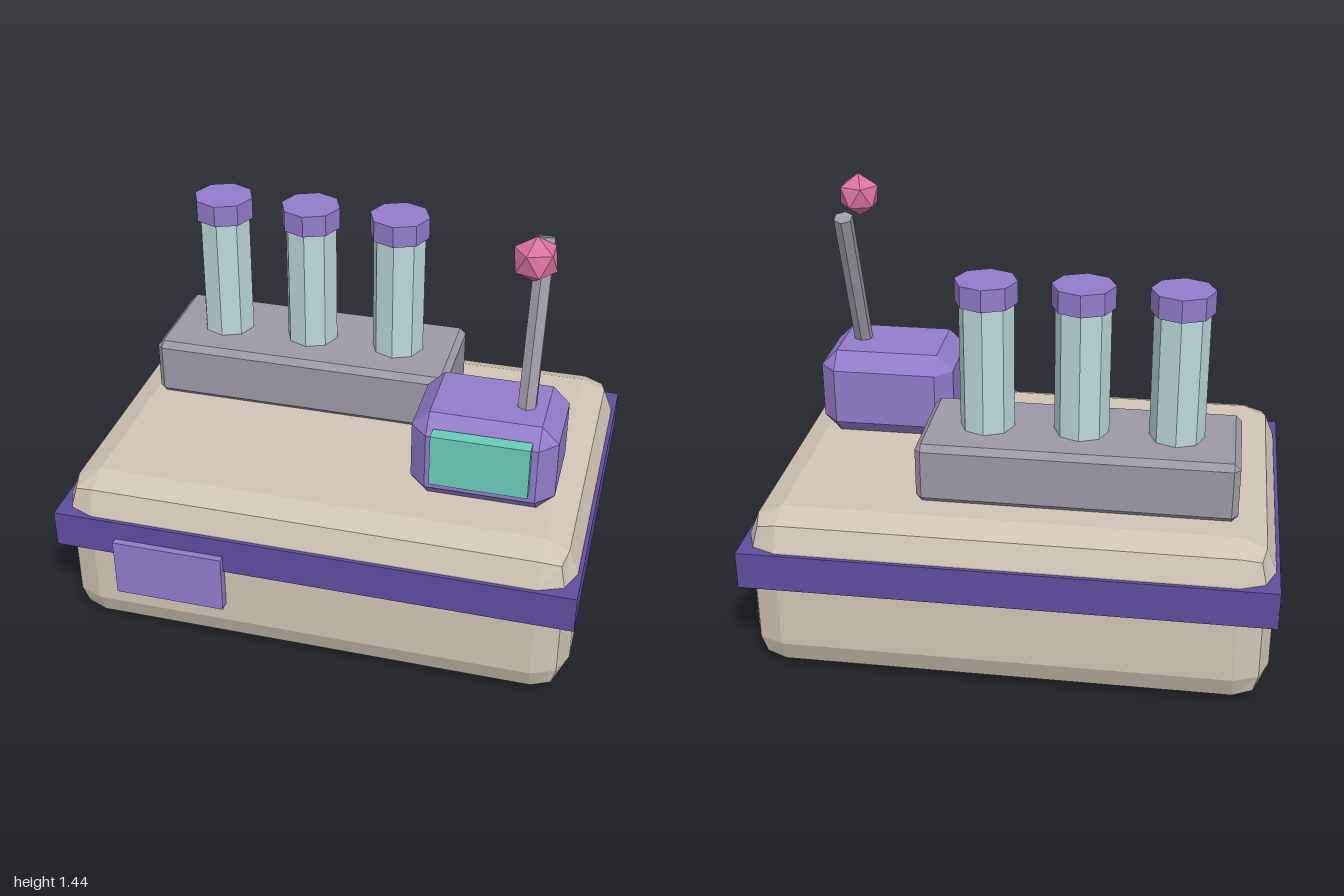
import * as THREE from 'three';
import { RoundedBoxGeometry } from 'three/addons/geometries/RoundedBoxGeometry.js';
import { ConvexGeometry } from 'three/addons/geometries/ConvexGeometry.js';

const material = (name, color) => {
  const m = new THREE.MeshStandardMaterial({ color, flatShading: true });
  m.name = name;
  return m;
};

// Box with every edge cut by a single flat chamfer c
function chamferBox(w, h, d, c) {
  const points = [];
  for (const x of [-w / 2, w / 2]) for (const y of [-h / 2, h / 2]) for (const z of [-d / 2, d / 2]) {
    const [sx, sy, sz] = [Math.sign(x) * c, Math.sign(y) * c, Math.sign(z) * c];
    points.push(
      new THREE.Vector3(x, y - sy, z - sz),
      new THREE.Vector3(x - sx, y, z - sz),
      new THREE.Vector3(x - sx, y - sy, z));
  }
  return new ConvexGeometry(points);
}

export function createModel() {
  const beige = material('beige', 0xcfc4b4);
  const deepPurple = material('deep purple', 0x5f4c9f);
  const lilac = material('lilac', 0x917cca);
  const grey = material('grey', 0x9c98a6);
  const paleBlue = material('pale blue', 0xbcd8da);
  const teal = material('teal', 0x6accb8);
  const pink = material('pink', 0xd9729f);

  const group = new THREE.Group();
  const add = (name, geometry, mat, x, y, z) => {
    const mesh = new THREE.Mesh(geometry, mat);
    mesh.name = name;
    mesh.position.set(x, y, z);
    group.add(mesh);
    return mesh;
  };

  // Body with belt and front plate
  add('body', new RoundedBoxGeometry(1.666, 0.56, 1.166, 1, 0.11), beige, 0, 0.28, 0);
  add('belt', new THREE.BoxGeometry(1.692, 0.125, 1.19), deepPurple, 0, 0.3825, 0);
  add('frontPlate', new THREE.BoxGeometry(0.365, 0.2, 0.04), lilac, -0.457, 0.28, 0.597);

  // Plinth with three capped tubes
  add('plinth', chamferBox(1.015, 0.2, 0.385, 0.02), grey, -0.2, 0.66, -0.206);
  for (const i of [-1, 0, 1]) {
    const x = -0.2 + i * 0.303;
    add('tube', new THREE.CylinderGeometry(0.088, 0.088, 0.46, 8), paleBlue, x, 0.97, -0.206);
    add('tubeCap', new THREE.CylinderGeometry(0.1, 0.1, 0.072, 8), lilac, x, 1.216, -0.206);
  }

  // Cabin with window
  add('cabin', chamferBox(0.457, 0.3, 0.35, 0.055), lilac, 0.5, 0.71, 0.205);
  add('window', new THREE.BoxGeometry(0.307, 0.175, 0.045), teal, 0.5, 0.738, 0.389);

  // Leaning mast and the ball beside its tip
  const mast = add('mast', new THREE.CylinderGeometry(0.032, 0.032, 0.56, 6), grey, 0.61, 1.087, 0.13);
  mast.rotation.x = -0.35;
  const ball = new THREE.IcosahedronGeometry(0.073, 0);
  ball.rotateZ(Math.atan(2 / (1 + Math.sqrt(5)))); // one corner points straight up
  add('ball', ball, pink, 0.605, 1.37, 0.23);

  group.rotation.y = THREE.MathUtils.degToRad(20);
  const root = new THREE.Group();
  root.add(group);
  group.name = 'machine';
  return root;
}
